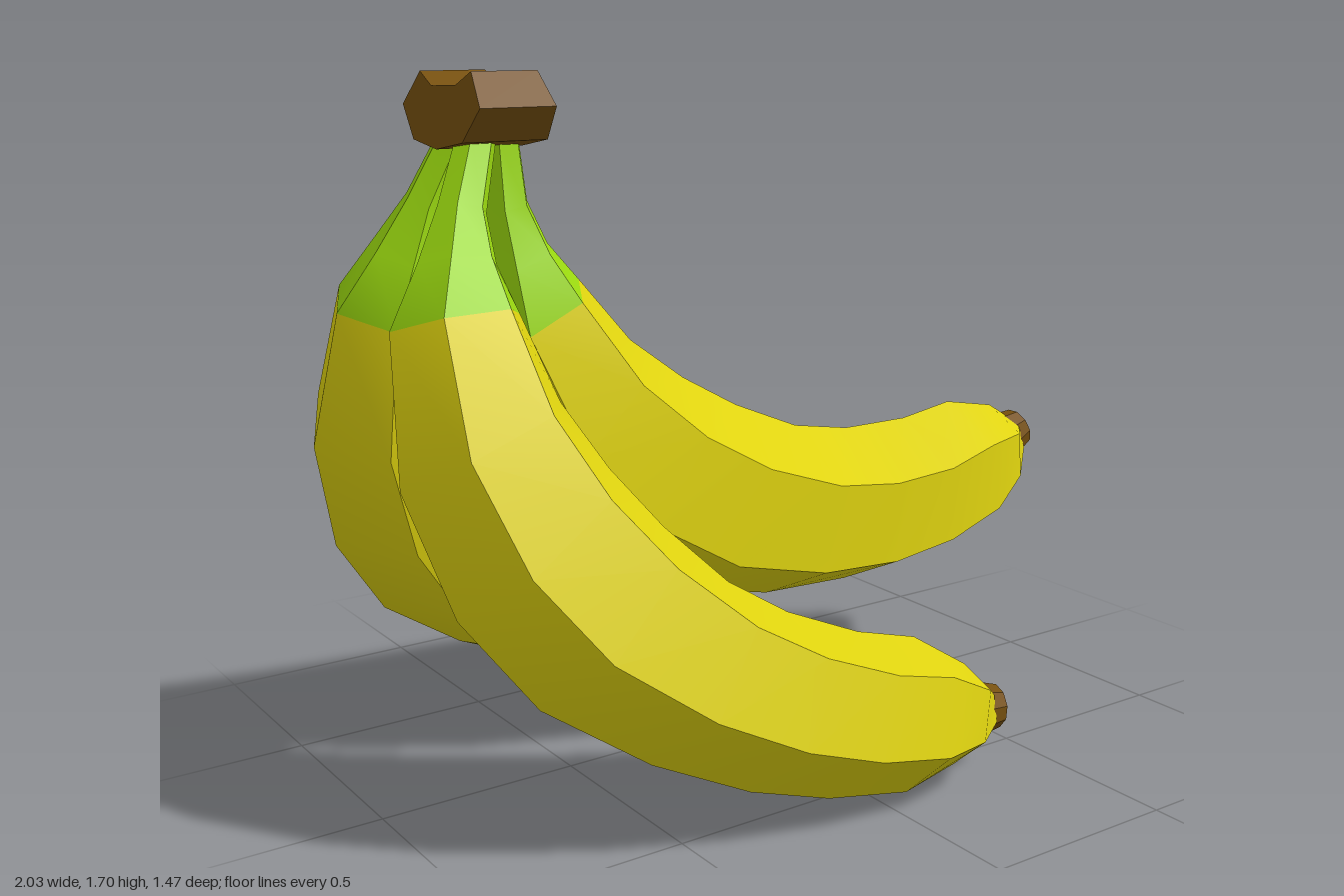
import * as THREE from 'three';

const mat = (name, color, opts = {}) => {
  const m = new THREE.MeshStandardMaterial({ color, ...opts });
  m.name = name;
  return m;
};

// Cross-sections from stem to tip: inner ridge x, y, outer ridge x, y, half width
const SECTIONS = [
  [-0.60, 1.60, -0.69, 1.58, 0.04],
  [-0.58, 1.44, -0.69, 1.42, 0.05],
  [-0.53, 1.34, -0.70, 1.28, 0.09],
  [-0.45, 1.25, -0.72, 1.12, 0.135],
  [-0.31, 1.09, -0.61, 0.80, 0.18],
  [-0.16, 0.98, -0.42, 0.57, 0.205],
  [0.00, 0.89, -0.19, 0.43, 0.22],
  [0.19, 0.81, 0.10, 0.37, 0.225],
  [0.36, 0.78, 0.36, 0.36, 0.22],
  [0.56, 0.78, 0.57, 0.385, 0.205],
  [0.72, 0.805, 0.78, 0.44, 0.175],
  [0.88, 0.775, 0.90, 0.53, 0.12],
  [0.93, 0.745, 0.975, 0.62, 0.06],
];
const GREEN_SEGMENTS = 3;
// Hexagon corners: position from inner to outer ridge, and side
const HEX = [[0, 0], [0.25, 1], [0.75, 1], [1, 0], [0.75, -1], [0.25, -1]];

// Six-sided loft: smooth along its length, sharp along its ridges
function bananaGeometry() {
  const pos = [], index = [];
  for (const [ix, iy, ox, oy, w] of SECTIONS) {
    for (let k = 0; k < 6; k++) {
      for (const [t, s] of [HEX[k], HEX[(k + 1) % 6]]) {
        pos.push(ix + (ox - ix) * t, iy + (oy - iy) * t, w * s);
      }
    }
  }
  for (let i = 0; i < SECTIONS.length - 1; i++) {
    for (let k = 0; k < 6; k++) {
      const a = i * 12 + k * 2, b = a + 12;
      index.push(a, a + 1, b, a + 1, b + 1, b);
    }
  }
  const g = new THREE.BufferGeometry();
  g.setAttribute('position', new THREE.Float32BufferAttribute(pos, 3));
  g.setIndex(index);
  g.computeVertexNormals();
  g.addGroup(0, GREEN_SEGMENTS * 36, 0);
  g.addGroup(GREEN_SEGMENTS * 36, index.length - GREEN_SEGMENTS * 36, 1);
  return g;
}

// Frame at the stem, with one axis to the tip and one along the outward bend
function frame(stem, tip, bend) {
  const f1 = tip.clone().sub(stem).normalize();
  const f2 = bend.clone().addScaledVector(f1, -bend.dot(f1)).normalize();
  const f3 = new THREE.Vector3().crossVectors(f1, f2);
  return new THREE.Matrix4().makeBasis(f1, f2, f3).setPosition(stem);
}

export function createModel() {
  const yellow = mat('ripe yellow', 0xdfd30f);
  const green = mat('stem green', 0x9cdb10);
  const brown = mat('stalk brown', 0x76500f);
  const brownFlat = brown;
  const V = (x, y, z) => new THREE.Vector3(x, y, z);
  const model = new THREE.Group();
  model.name = 'bananaBunch';

  const skin = bananaGeometry();
  const tipGeo = new THREE.CylinderGeometry(0.055, 0.068, 0.055, 10).toNonIndexed();
  tipGeo.computeVertexNormals();
  const tipAxis = V(0.945, 0.33, 0).normalize();

  function banana(name) {
    const g = new THREE.Group();
    g.name = name;
    const body = new THREE.Mesh(skin, [green, yellow]);
    body.name = 'peel';
    const tip = new THREE.Mesh(tipGeo, brown);
    tip.name = 'tip';
    tip.position.set(0.965, 0.686, 0);
    tip.quaternion.setFromUnitVectors(V(0, 1, 0), tipAxis);
    g.add(body, tip);
    model.add(g);
    return g;
  }

  // Middle banana, then the two side bananas swung down and outward
  banana('middleBanana');
  const home = frame(V(-0.65, 1.57, 0), V(0.96, 0.68, 0), V(-0.484, -0.875, 0)).invert();
  for (const s of [1, -1]) {
    const f = frame(V(-0.74, 1.57, 0.05 * s), V(0.37, 0.15, 0.58 * s), V(-0.8, -0.587, 0.11 * s));
    banana(s > 0 ? 'frontBanana' : 'backBanana').applyMatrix4(f.multiply(home));
  }

  // Crown: saddle-shaped outline extruded across x, narrowing upward
  const outline = [[0.12, 1.585], [0.185, 1.66], [0.125, 1.735], [0.06, 1.705], [-0.06, 1.70],
    [-0.125, 1.73], [-0.195, 1.655], [-0.12, 1.58], [0, 1.565]];
  const shape = new THREE.Shape(outline.map(([z, y]) => new THREE.Vector2(-z, y)));
  const crownGeo = new THREE.ExtrudeGeometry(shape, { depth: 1, bevelEnabled: false });
  crownGeo.translate(0, 0, -0.5).rotateY(Math.PI / 2);
  const p = crownGeo.attributes.position;
  for (let i = 0; i < p.count; i++) {
    const half = 0.107 - 0.16 * (p.getY(i) - 1.565);
    p.setX(i, -0.693 + p.getX(i) * 2 * half);
  }
  crownGeo.computeVertexNormals();
  const crown = new THREE.Mesh(crownGeo, brownFlat);
  crown.name = 'crown';
  model.add(crown);

  return model;
}
